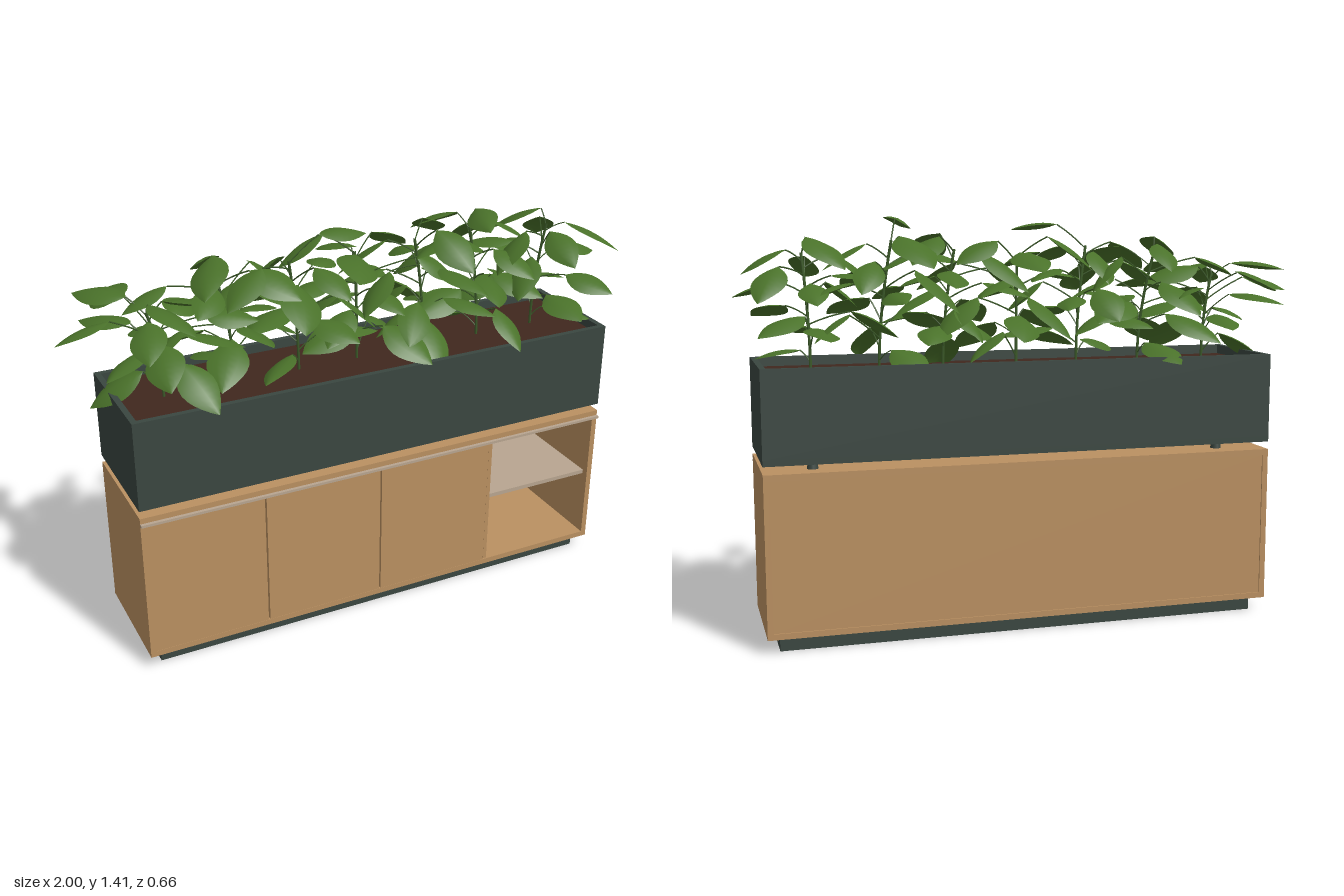
import * as THREE from 'three';
import { mergeGeometries } from 'three/addons/utils/BufferGeometryUtils.js';

const mat = (name, color, side = THREE.FrontSide) => {
  const m = new THREE.MeshStandardMaterial({ color, side });
  m.name = name;
  return m;
};

// Small seeded generator
function seeded(seed) {
  return () => {
    seed = (seed * 16807) % 2147483647;
    return seed / 2147483647;
  };
}

// Pointed, gently domed leaf blade of unit length along +x
function leafBlade() {
  const rows = 9, cols = 4, pos = [], idx = [];
  for (let i = 0; i <= rows; i++) {
    const t = i / rows;
    const half = 0.29 * Math.pow(Math.sin(Math.PI * Math.pow(t, 0.85)), 0.9);
    for (let j = 0; j <= cols; j++) {
      const u = (j / cols) * 2 - 1;
      pos.push(t, 0.12 * t - 0.3 * t * t - 0.3 * half * u * u, half * u);
    }
  }
  const w = cols + 1;
  for (let i = 0; i < rows; i++) {
    for (let j = 0; j < cols; j++) {
      const a = i * w + j, b = a + 1, c = a + w, d = c + 1;
      idx.push(a, b, c, b, d, c);
    }
  }
  const g = new THREE.BufferGeometry();
  g.setAttribute('position', new THREE.Float32BufferAttribute(pos, 3));
  g.setIndex(idx);
  g.computeVertexNormals();
  return g;
}

export function createModel() {
  const root = new THREE.Group();
  root.name = 'planterCabinet';
  const wood = mat('wood', 0xba9061);
  const green = mat('dark green metal', 0x3a4640);
  const grey = mat('shelf grey', 0xb8a590);
  const soilMat = mat('soil', 0x40271e);
  const leafMat = mat('leaf green', 0x4a722a, THREE.DoubleSide);
  const stemMat = mat('stem green', 0x3d5c2a);

  // Box from its lower and upper corners
  const box = (parent, name, m, x0, x1, y0, y1, z0, z1) => {
    const mesh = new THREE.Mesh(new THREE.BoxGeometry(x1 - x0, y1 - y0, z1 - z0), m);
    mesh.position.set((x0 + x1) / 2, (y0 + y1) / 2, (z0 + z1) / 2);
    mesh.name = name;
    parent.add(mesh);
  };
  const group = (name) => {
    const g = new THREE.Group();
    g.name = name;
    root.add(g);
    return g;
  };

  // Cabinet carcass with an open bay on its left
  const cabinet = group('cabinet');
  box(cabinet, 'plinth', green, -0.788, 0.892, 0, 0.05, -0.185, 0.165);
  box(cabinet, 'bottomPanel', wood, -0.832, 0.934, 0.05, 0.07, -0.22, 0.2);
  box(cabinet, 'topPanel', wood, -0.832, 0.934, 0.573, 0.594, -0.22, 0.2);
  box(cabinet, 'rightSide', wood, -0.832, -0.812, 0.07, 0.573, -0.22, 0.2);
  box(cabinet, 'leftSide', wood, 0.914, 0.934, 0.07, 0.573, -0.22, 0.2);
  box(cabinet, 'divider', wood, 0.47, 0.484, 0.07, 0.573, -0.2, 0.195);
  box(cabinet, 'backPanel', wood, -0.812, 0.914, 0.07, 0.573, -0.215, -0.2);
  box(cabinet, 'topRail', grey, -0.832, 0.934, 0.566, 0.575, 0.2, 0.212);
  box(cabinet, 'shelf', grey, -0.812, 0.914, 0.318, 0.333, -0.2, 0.175);

  // Doors with narrow open gaps between them
  const edges = [-0.815, -0.4, 0.032, 0.47];
  for (let i = 0; i < 3; i++) {
    box(cabinet, 'door', wood, edges[i] + 0.003, edges[i + 1] - 0.003, 0.07, 0.573, 0.18, 0.199);
  }

  // Planter trough on four feet
  const planter = group('planter');
  for (const x of [-0.665, 0.767]) {
    for (const z of [-0.14, 0.122]) {
      const foot = new THREE.Mesh(new THREE.CylinderGeometry(0.015, 0.019, 0.028, 16), green);
      foot.position.set(x, 0.608, z);
      foot.name = 'foot';
      planter.add(foot);
    }
  }
  box(planter, 'troughFloor', green, -0.832, 0.934, 0.621, 0.641, -0.22, 0.2);
  box(planter, 'frontWall', green, -0.832, 0.934, 0.641, 0.932, 0.18, 0.2);
  box(planter, 'backWall', green, -0.832, 0.934, 0.641, 0.932, -0.22, -0.2);
  box(planter, 'rightWall', green, -0.832, -0.812, 0.641, 0.932, -0.2, 0.18);
  box(planter, 'leftWall', green, 0.914, 0.934, 0.641, 0.932, -0.2, 0.18);
  box(planter, 'soil', soilMat, -0.812, 0.914, 0.641, 0.9, -0.2, 0.18);

  // Leafy plants in a row: [x, top height, direction of the widest leaf]
  const blade = leafBlade();
  const rows = [
    [-0.66, 1.21, Math.PI], [-0.41, 1.29, 2.0], [-0.18, 1.31, 4.4], [0.04, 1.28, 1.1],
    [0.3, 1.3, 5.2], [0.52, 1.33, 2.7], [0.75, 1.29, 0]
  ];
  const rnd = seeded(4711);
  const count = 15, widest = 8;
  rows.forEach(([px, top, turn]) => {
    const plant = group('plant');
    const endPlant = Math.abs(px) > 0.6;
    const lean = (rnd() - 0.5) * 0.1, leanZ = (rnd() - 0.5) * 0.12;
    const stem = new THREE.QuadraticBezierCurve3(
      new THREE.Vector3(px, 0.89, -0.01),
      new THREE.Vector3(px, 1.08, -0.01),
      new THREE.Vector3(px + lean, top, -0.01 + leanZ)
    );
    const stems = [new THREE.TubeGeometry(stem, 8, 0.005, 5)];
    const leaves = [];
    for (let i = 0; i < count; i++) {
      const f = i / (count - 1);
      const outermost = endPlant && i === widest;
      const ang = turn + (i - widest) * 2.4 + (outermost ? 0 : (rnd() - 0.5) * 0.7);
      const dir = new THREE.Vector3(Math.cos(ang), 0, -Math.sin(ang));
      const start = stem.getPoint(0.1 + 0.88 * Math.pow(f, 0.8));
      const size = 0.165 + 0.065 * rnd();
      const pitch = outermost ? -0.1 : 0.1 - 0.6 * rnd();
      // leaves spread widest above the middle and stay within the overall depth
      const spread = 0.17 + 0.06 * Math.sin(Math.PI * Math.pow(f, 1.3)) + 0.13 * rnd();
      const roomX = (1 - Math.sign(dir.x) * start.x) / Math.max(0.01, Math.abs(dir.x));
      const roomZ = (0.345 + Math.sign(dir.z) * -start.z) / Math.max(0.01, Math.abs(dir.z));
      const reach = outermost ? roomX : Math.min(spread, roomX - 0.02, roomZ);
      const bladeReach = size * (Math.cos(pitch) + 0.18 * Math.sin(pitch));
      const end = start.clone().addScaledVector(dir, Math.max(0.012, reach - bladeReach));
      end.y += 0.03 + 0.06 * rnd();
      const mid = start.clone().lerp(end, 0.5);
      mid.y += 0.01;
      stems.push(new THREE.TubeGeometry(new THREE.QuadraticBezierCurve3(start, mid, end), 4, 0.0025, 4));
      const q = new THREE.Quaternion().setFromEuler(
        new THREE.Euler((rnd() - 0.5) * 0.8, ang, pitch, 'YZX')
      );
      const scale = new THREE.Vector3(size, size, size * (0.95 + 0.2 * rnd()));
      leaves.push(blade.clone().applyMatrix4(new THREE.Matrix4().compose(end, q, scale)));
    }
    const stemMesh = new THREE.Mesh(mergeGeometries(stems), stemMat);
    stemMesh.name = 'stems';
    const leafMesh = new THREE.Mesh(mergeGeometries(leaves), leafMat);
    leafMesh.name = 'leaves';
    plant.add(stemMesh, leafMesh);
  });

  return root;
}
